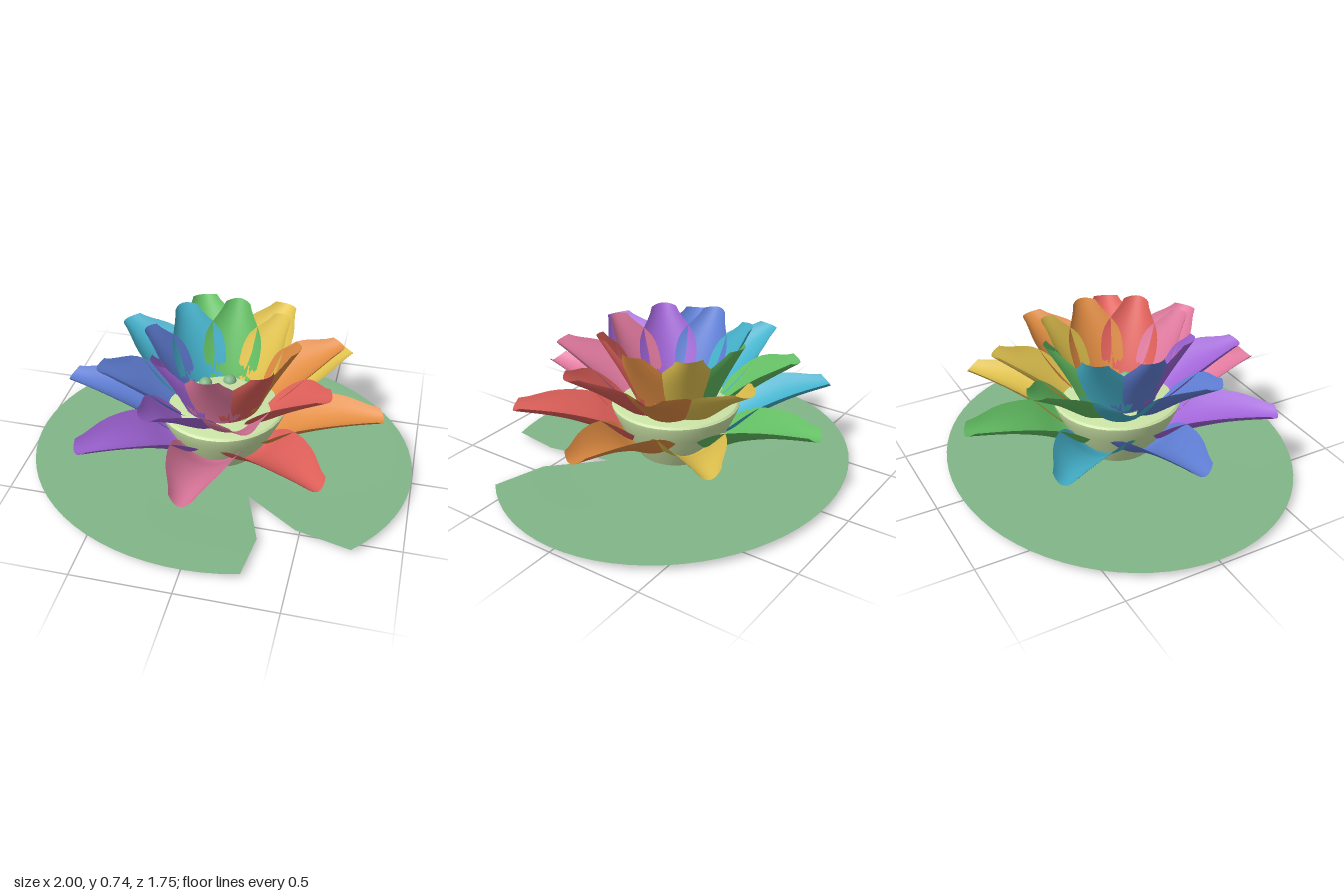
import * as THREE from 'three';
import { toCreasedNormals } from 'three/addons/utils/BufferGeometryUtils.js';

function mat(name, color, side = THREE.DoubleSide) {
  const m = new THREE.MeshStandardMaterial({ color, side });
  m.name = name;
  return m;
}

// Surface from rows of points, faces turned towards rows x columns
function gridGeometry(rows) {
  const n = rows[0].length, index = [];
  for (let j = 0; j < rows.length - 1; j++) {
    for (let i = 0; i < n - 1; i++) {
      const a = j * n + i, b = a + 1, c = a + n, d = c + 1;
      index.push(a, c, b, b, c, d);
    }
  }
  const g = new THREE.BufferGeometry();
  g.setAttribute('position', new THREE.Float32BufferAttribute(rows.flat(2), 3));
  g.setIndex(index);
  g.computeVertexNormals();
  return g;
}

// Cupped petal growing along +z: spine of [radius, height], half widths and cup depths
function petalGeometry({ spine, widths, cups }) {
  const path = new THREE.CatmullRomCurve3(spine.map(([r, y]) => new THREE.Vector3(0, y, r)));
  const curve = (vals) => new THREE.SplineCurve(vals.map((v, i) => new THREE.Vector2(i, v)));
  const wide = curve(widths), deep = curve(cups);
  const rows = [], along = 16, across = 12;
  for (let j = 0; j <= along; j++) {
    const t = j / along;
    const p = path.getPoint(t), d = path.getTangent(t);
    const w = wide.getPoint(t).y, cup = deep.getPoint(t).y;
    const row = [];
    for (let i = 0; i <= across; i++) {
      const s = (i / across) * 2 - 1;
      const lift = cup * s * s;
      const bulge = 0.025 * (1 - s * s) * t ** 6; // rounded tip
      row.push([w * s, p.y + d.z * lift + d.y * bulge, p.z - d.y * lift + d.z * bulge]);
    }
    rows.push(row);
  }
  return gridGeometry(rows);
}

// Notched leaf, sinking slightly towards the bottom of its notch
function padGeometry() {
  const apex = [0.205, 0, 0.29], start = 1.286, end = Math.PI * 2 + 0.712, n = 64;
  const inner = [], outer = [], centre = [];
  for (let i = n; i >= 0; i--) {
    const a = start + ((end - start) * i) / n;
    const x = Math.cos(a), z = 0.877 * Math.sin(a);
    outer.push([x, 0.03, z]);
    inner.push([(x + apex[0]) / 2, 0.026, (z + apex[2]) / 2]);
    centre.push(apex);
  }
  inner[0] = [0.48, 0.026, 0.5];
  inner[n] = [0.31, 0.026, 0.6];
  const g = gridGeometry([outer, inner, centre]);
  return toCreasedNormals(g, 0.5);
}

export function createModel() {
  const model = new THREE.Group();
  model.name = 'waterLily';

  const padGreen = mat('pad green', 0x82b688);
  const podGreen = mat('pod green', 0xcbe3a6, THREE.FrontSide);
  // Petal colours, counted from the front towards +x
  const colours = [
    mat('pink', 0xe27a9f), mat('red', 0xe0605a), mat('orange', 0xe08c42), mat('yellow', 0xe3c44f),
    mat('green', 0x62bd62), mat('teal', 0x45b2cc), mat('blue', 0x607fd6), mat('purple', 0xa064d6),
  ];

  const add = (parent, name, geometry, material) => {
    const m = new THREE.Mesh(geometry, material);
    m.name = name;
    parent.add(m);
    return m;
  };

  add(model, 'lilyPad', padGeometry(), padGreen);

  // Seed pod with a flat top and rounded rim
  const profile = [
    [0, 0.045], [0.19, 0.08], [0.245, 0.17], [0.295, 0.27], [0.325, 0.34],
    [0.328, 0.357], [0.318, 0.366], [0.3, 0.37], [0, 0.37],
  ].map(([r, y]) => new THREE.Vector2(r, y));
  add(model, 'seedPod', toCreasedNormals(new THREE.LatheGeometry(profile, 40), 0.45), podGreen);

  // Seeds: one in the middle, eight around it
  const seeds = new THREE.Group();
  seeds.name = 'seeds';
  const seedGeometry = new THREE.SphereGeometry(0.036, 16, 10);
  for (let i = 0; i <= 8; i++) {
    const a = (i * Math.PI) / 4, r = i === 8 ? 0 : 0.168;
    add(seeds, 'seed', seedGeometry, padGreen).position.set(r * Math.sin(a), 0.365, r * Math.cos(a));
  }
  model.add(seeds);

  // Three tiers of eight petals, the middle tier turned by half a step
  const tiers = [
    {
      name: 'outerPetal', turn: 0,
      spine: [[0.19, 0.14], [0.28, 0.18], [0.42, 0.26], [0.6, 0.33], [0.8, 0.37]],
      widths: [0.09, 0.165, 0.17, 0.135, 0.062], cups: [0.04, 0.09, 0.1, 0.075, 0.04],
    },
    {
      name: 'middlePetal', turn: 0.5,
      spine: [[0.2, 0.31], [0.31, 0.4], [0.45, 0.515], [0.6, 0.615]],
      widths: [0.09, 0.155, 0.155, 0.065], cups: [0.03, 0.07, 0.075, 0.035],
    },
    {
      name: 'innerPetal', turn: 0,
      spine: [[0.18, 0.32], [0.22, 0.42], [0.295, 0.57], [0.38, 0.72]],
      widths: [0.08, 0.135, 0.145, 0.065], cups: [0.02, 0.04, 0.055, 0.03],
    },
  ];
  for (const tier of tiers) {
    const geometry = petalGeometry(tier);
    const ring = new THREE.Group();
    ring.name = tier.name + 's';
    colours.forEach((colour, i) => {
      add(ring, tier.name, geometry, colour).rotation.y = ((i + tier.turn) * Math.PI) / 4;
    });
    model.add(ring);
  }
  return model;
}
